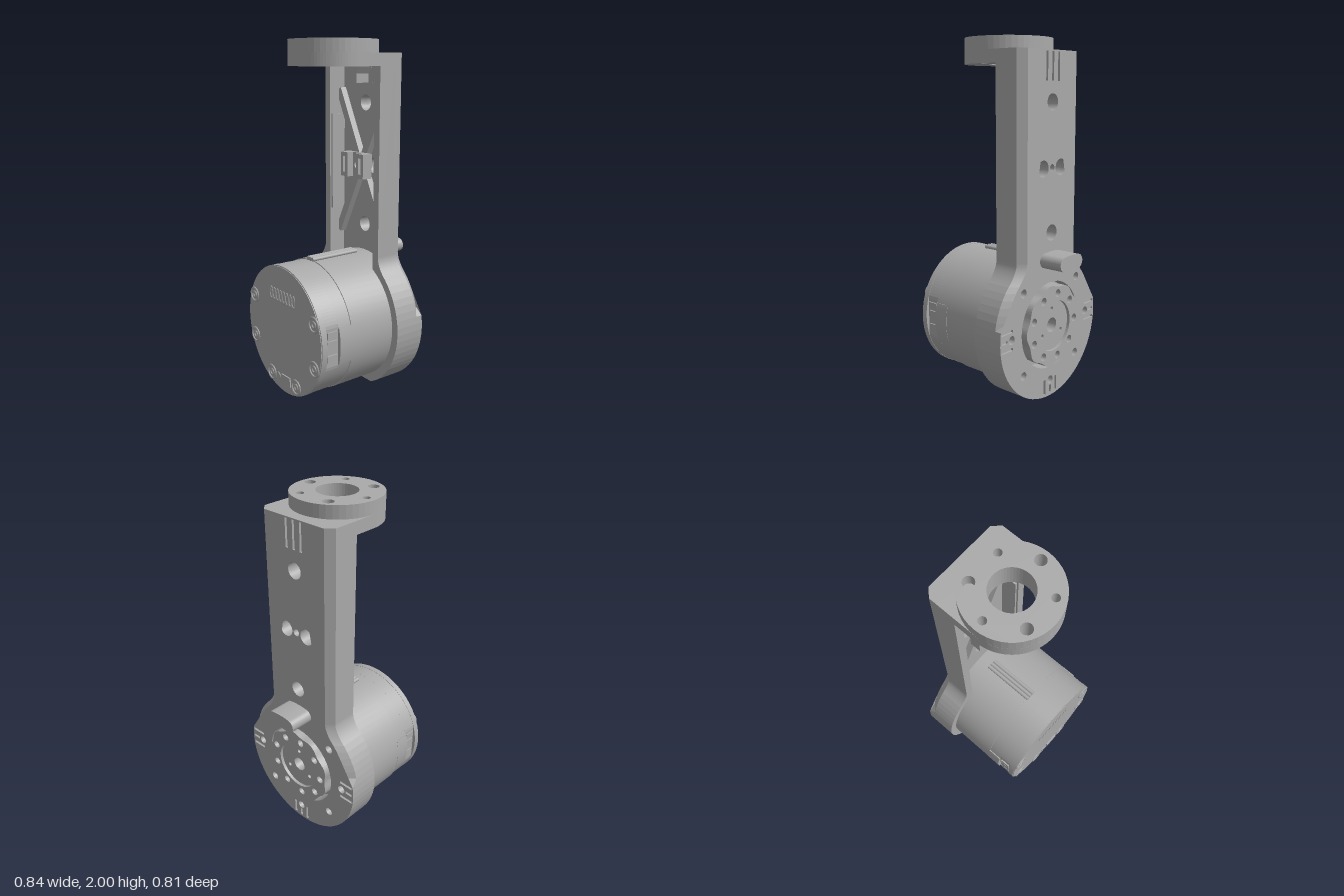
import * as THREE from 'three';

const CY = 0.425; // height of the motor axis

export function createModel() {
  const model = new THREE.Group();
  const grey = new THREE.MeshStandardMaterial({ color: 0xaaaaaa });
  grey.name = 'machined grey';

  const add = (name, geo) => {
    const mesh = new THREE.Mesh(geo, grey);
    mesh.name = name;
    model.add(mesh);
    return mesh;
  };
  const circle = (x, y, r) => new THREE.Path().absarc(x, y, r, 0, Math.PI * 2, true);
  const rect = (x0, y0, x1, y1) => new THREE.Path([[x0, y0], [x0, y1], [x1, y1], [x1, y0]]
    .map(p => new THREE.Vector2(...p)));
  // Extrude a shape along z between two depths
  const extrude = (shape, z0, z1, steps = 1, curveSegments = 24) =>
    new THREE.ExtrudeGeometry(shape, { depth: z1 - z0, steps, bevelEnabled: false, curveSegments })
      .translate(0, 0, z0);
  const reshape = (geo, rule) => {
    const p = geo.attributes.position, v = new THREE.Vector3();
    for (let i = 0; i < p.count; i++) {
      rule(v.fromBufferAttribute(p, i));
      p.setXYZ(i, v.x, v.y, v.z);
    }
    geo.computeVertexNormals();
    return geo;
  };
  const box = (name, x0, x1, y0, y1, z0, z1) => add(name,
    new THREE.BoxGeometry(x1 - x0, y1 - y0, z1 - z0)
      .translate((x0 + x1) / 2, (y0 + y1) / 2, (z0 + z1) / 2));
  // Cylinder lying along z
  const drum = (name, r, z0, z1, x = 0, y = CY, seg = 64) => add(name,
    new THREE.CylinderGeometry(r, r, z1 - z0, seg).rotateX(Math.PI / 2).translate(x, y, (z0 + z1) / 2));

  // Keyhole outline shared by the arm layers
  const armOutline = () => {
    const s = new THREE.Shape();
    s.moveTo(-0.245, 1.93);
    s.lineTo(-0.245, 0.82);
    s.quadraticCurveTo(-0.245, 0.765, -0.31, 0.703);
    s.absarc(0, 0.42, 0.42, Math.PI - 0.74, Math.PI * 2 + 0.74, false);
    s.quadraticCurveTo(0.245, 0.765, 0.245, 0.82);
    s.lineTo(0.245, 1.93);
    return s;
  };

  // Arm back plate with lightening holes, bolt holes and alignment slots
  const back = armOutline();
  back.holes.push(circle(0, 1.66, 0.045), circle(0, 0.955, 0.045), circle(0.075, 1.31, 0.045),
    circle(-0.075, 1.31, 0.045), circle(0, 1.31, 0.02), circle(0, CY, 0.25));
  for (let i = 0; i < 8; i++) {
    if (i === 2) continue; // hidden under the cable hood
    const a = i * Math.PI / 4;
    back.holes.push(circle(Math.cos(a) * 0.33, CY + Math.sin(a) * 0.33, 0.024));
  }
  const slot = (x0, y0, x1, y1) => {
    back.holes.push(rect(x0, y0, x1, y1));
    box('slotFloor', x0 - 0.002, x1 + 0.002, y0 - 0.002, y1 + 0.002, -0.252, -0.187);
  };
  for (const o of [-0.05, 0, 0.05]) {
    const inner = o ? 0.32 : 0.362;
    slot(o - 0.008, 1.77, o + 0.008, 1.922);
    slot(o - 0.008, CY - 0.408, o + 0.008, CY - inner);
    slot(inner, CY + o - 0.008, 0.408, CY + o + 0.008);
    slot(-0.408, CY + o - 0.008, -inner, CY + o + 0.008);
  }
  // Back edge is chamfered above the motor axis
  add('armBackPlate', reshape(extrude(back, -0.265, -0.185, 2), v => {
    const outer = Math.hypot(v.x, v.y - 0.42) > 0.38 && Math.abs(v.x) > 0.15;
    if (v.z < -0.26 && outer && v.y > 0.5) v.x -= Math.sign(v.x) * 0.04;
  }));

  // Arm side walls and motor collar, sloped underneath
  const walls = armOutline();
  walls.holes.push(rect(-0.2, 0.7, 0.2, 1.86));
  add('armWalls', reshape(extrude(walls, -0.185, -0.08), v => {
    if (v.z > -0.1) v.y = Math.max(v.y, 0.05);
  }));

  // Crossed ribs and wall pads inside the channel
  for (const sx of [-1, 1]) {
    for (const sy of [-1, 1]) {
      const dx = sx * 0.205, dy = sy * 0.42;
      const rib = add('crossRib', new THREE.BoxGeometry(0.045, Math.hypot(dx, dy), 0.04));
      rib.position.set(dx / 2, 1.31 + dy / 2, -0.167);
      rib.rotation.z = -Math.atan2(dx, dy);
    }
    box('wallPad', sx * 0.195 - 0.006, sx * 0.195 + 0.006, 1.03, 1.59, -0.18, -0.09);
  }

  // Cable clip in the middle of the channel
  const clip = new THREE.Shape([[-0.1, 1.24], [0.1, 1.24], [0.1, 1.38], [-0.1, 1.38]]
    .map(p => new THREE.Vector2(...p)));
  clip.holes.push(circle(0, 1.31, 0.025));
  add('clipBase', extrude(clip, -0.15, -0.125));
  for (const s of [-1, 1]) {
    const wing = new THREE.Shape([[0.04, 1.24], [0.1, 1.24], [0.1, 1.38], [0.04, 1.38]]
      .map(p => new THREE.Vector2(p[0] - 0.07, p[1])));
    wing.holes.push(rect(-0.012, 1.265, 0.008, 1.355));
    add('clipWing', extrude(wing, -0.125, -0.085)).position.x = s * 0.07;
  }

  // Top flange with centre bore and six bolt holes
  const FZ = 0.045;
  const bores = [[0, FZ, 0.11]];
  for (let i = 0; i < 6; i++) {
    const a = i * Math.PI / 3;
    bores.push([Math.cos(a) * 0.192, FZ + Math.sin(a) * 0.192, i % 2 ? 0.021 : 0.03]);
  }
  const flangeLayer = (name, shape, top, height, minZ) => {
    for (const [x, z, r] of bores) if (z - r > minZ) shape.holes.push(circle(x, z, r));
    add(name, extrude(shape, 0, height).rotateX(Math.PI / 2).translate(0, top, 0));
  };
  flangeLayer('flangeDisc', new THREE.Shape().absarc(0, FZ, 0.245, 0, Math.PI * 2, false), 2, 0.07, -1);
  const neck = new THREE.Shape();
  neck.moveTo(-0.245, -0.08);
  neck.lineTo(0.245, -0.08);
  neck.absarc(0, FZ, 0.245, 0, Math.PI, false);
  flangeLayer('flangeNeck', neck, 1.93, 0.07, -0.078);
  const gusset = new THREE.Shape([[-0.045, 1.86], [-0.02, 1.82], [-0.02, 1.77], [0.02, 1.77],
    [0.02, 1.82], [0.045, 1.86]].map(p => new THREE.Vector2(...p)));
  add('gusset', extrude(gusset, -0.185, -0.1));

  // Motor housing and front cap with flats for the side connectors
  drum('motorBody', 0.375, -0.18, 0.199);
  drum('capRear', 0.37, 0.199, 0.28);
  const flat = new THREE.Shape().absarc(0, CY, 0.37, 0, Math.PI * 2, false);
  add('capMiddle', reshape(extrude(flat, 0.28, 0.36, 1, 64), v => {
    v.x = THREE.MathUtils.clamp(v.x, -0.352, 0.352);
  }));
  drum('capFront', 0.372, 0.36, 0.394);
  drum('capFace', 0.366, 0.394, 0.398);
  for (const s of [-1, 1]) {
    // Housing tab reaching forward to each connector
    const tab = new THREE.Shape();
    const a = 0.27, mid = s > 0 ? 0 : Math.PI;
    tab.absarc(0, CY, 0.376, mid - a, mid + a, false);
    tab.absarc(0, CY, 0.36, mid + a, mid - a, true);
    add('housingTab', extrude(tab, 0.19, 0.28));
    for (const [y, h] of [[0.365, 0.04], [0.43, 0.07], [0.495, 0.04]]) {
      box('sideConnector', s * 0.354 - 0.006, s * 0.354 + 0.006, y - h / 2, y + h / 2, 0.29, 0.35);
    }
  }

  // Three cable ridges along the top of the motor
  for (const x of [-0.022, 0, 0.022]) drum('cableRidge', 0.012, -0.1, 0.21, x, 0.808, 12);

  // Front screws, vent row and small plug
  for (const [x, y] of [[0.3, 0.555], [0.3, 0.305], [0.125, 0.13]]) {
    for (const s of [-1, 1]) {
      add('screwRim', new THREE.TorusGeometry(0.04, 0.006, 6, 28).translate(s * x, y, 0.398));
      add('screwHead', new THREE.TorusGeometry(0.016, 0.005, 6, 16).translate(s * x, y, 0.398));
    }
  }
  for (let i = 0; i < 8; i++) {
    const vent = add('vent', new THREE.TorusGeometry(0.013, 0.003, 4, 14).scale(1, 2.5, 1));
    vent.position.set(-0.112 + i * 0.032, 0.62, 0.398);
  }
  box('frontPlug', -0.015, 0.075, 0.105, 0.16, 0.39, 0.405).rotation.z = 0.03;
  drum('frontButton', 0.02, 0.39, 0.402, -0.055, 0.135, 16);

  // Rotor on the back: scalloped ring, bolt circle and recessed hub
  const ringPoints = [];
  for (let i = 0; i < 108; i++) {
    const a = i / 108 * Math.PI * 2, r = 0.229 + 0.008 * Math.cos(a * 9);
    ringPoints.push(new THREE.Vector2(r * Math.cos(a), CY + r * Math.sin(a)));
  }
  const ring = new THREE.Shape(ringPoints);
  ring.holes.push(circle(0, CY, 0.145));
  for (let i = 0; i < 9; i++) {
    const a = (i + 0.5) / 9 * Math.PI * 2;
    ring.holes.push(circle(Math.cos(a) * 0.185, CY + Math.sin(a) * 0.185, 0.022));
  }
  add('rotorRing', extrude(ring, -0.29, -0.18));
  const hub = new THREE.Shape().absarc(0, CY, 0.147, 0, Math.PI * 2, false);
  hub.holes.push(circle(0, CY, 0.042));
  for (let i = 0; i < 3; i++) {
    const a = Math.PI / 2 + i / 3 * Math.PI * 2;
    hub.holes.push(circle(Math.cos(a) * 0.095, CY + Math.sin(a) * 0.095, 0.012));
  }
  add('rotorHub', extrude(hub, -0.272, -0.18));

  // Curved cable hood above the rotor
  const hood = new THREE.Shape();
  const h = 0.15, rm = 0.385, w = 0.04, up = Math.PI / 2;
  hood.absarc(0, CY, rm + w, up - h, up + h, false);
  hood.absarc(Math.cos(up + h) * rm, CY + Math.sin(up + h) * rm, w, up + h, up + h + Math.PI, false);
  hood.absarc(0, CY, rm - w, up + h, up - h, true);
  hood.absarc(Math.cos(up - h) * rm, CY + Math.sin(up - h) * rm, w, up - h - Math.PI, up - h, false);
  add('cableHood', extrude(hood, -0.405, -0.26));

  return model;
}
